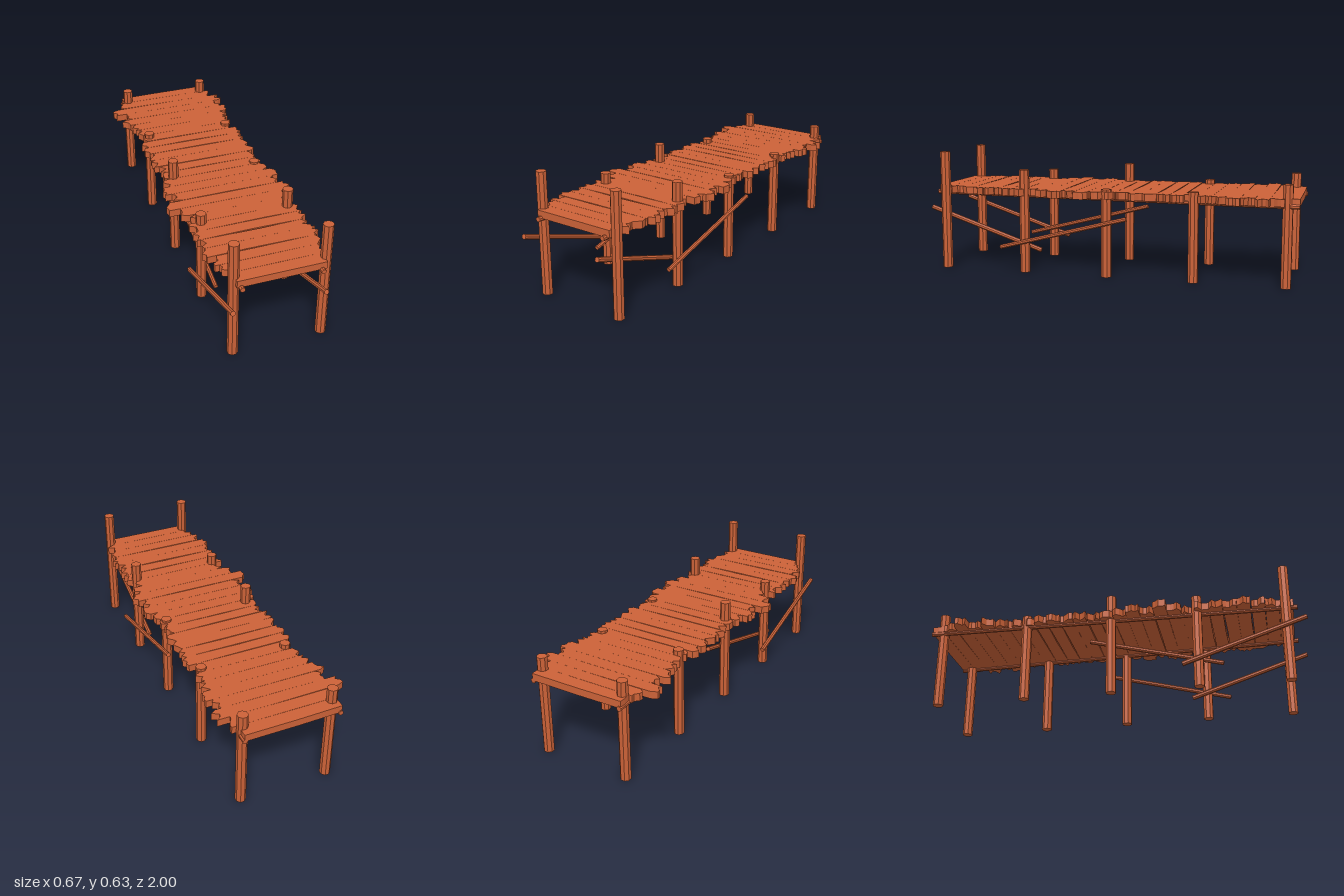
import * as THREE from 'three';

const wood = new THREE.MeshStandardMaterial({ color: 0xcc6238, flatShading: true });

// Small seeded generator for the rough plank ends
let seed = 11;
const rand = () => {
  seed = (seed * 16807) % 2147483647;
  return seed / 2147483647;
};

// Round timber between two points
function pole(name, a, b, radius, sides = 8) {
  const from = new THREE.Vector3(...a), to = new THREE.Vector3(...b);
  const dir = to.clone().sub(from);
  const geo = new THREE.CylinderGeometry(radius, radius, dir.length(), sides);
  geo.rotateY(Math.PI / sides);
  const mesh = new THREE.Mesh(geo, wood);
  mesh.quaternion.setFromUnitVectors(new THREE.Vector3(0, 1, 0), dir.normalize());
  mesh.position.copy(from).add(to).multiplyScalar(0.5);
  mesh.name = name;
  return mesh;
}

// Board across the deck, with splintered ends unless it is a trimmed end board
function plank(left, right, z0, z1, trimmed) {
  const shape = new THREE.Shape();
  const gap = () => (rand() < 0.3 ? 0.006 : 0.001) * rand();
  const steps = 4;
  const rough = () => (trimmed ? 0.004 : 0.036) * rand();
  const peakR = 1 + Math.floor(rand() * 3), peakL = 1 + Math.floor(rand() * 3);
  shape.moveTo(-left + rough(), z0 + gap());
  shape.lineTo(0.1 * (rand() - 0.5), z0 + gap());
  for (let i = 0; i <= steps; i++) {
    const z = THREE.MathUtils.lerp(z0, z1, i / steps);
    shape.lineTo(right - (i === peakR ? 0 : rough()), z);
  }
  shape.lineTo(0.2 * (rand() - 0.5), z1 - gap());
  for (let i = steps; i > 0; i--) {
    const z = THREE.MathUtils.lerp(z0, z1, i / steps);
    shape.lineTo(-left + (i === peakL ? 0 : rough()), z);
  }
  const geo = new THREE.ExtrudeGeometry(shape, { depth: 0.038, bevelEnabled: false });
  geo.rotateX(Math.PI / 2);
  const mesh = new THREE.Mesh(geo, wood);
  mesh.position.y = 0.451;
  mesh.name = 'plank';
  return mesh;
}

export function createModel() {
  const group = new THREE.Group();
  group.name = 'woodenDock';

  // Posts: z, height on the right (-x), height on the left (+x)
  const posts = [
    [0.895, 0.635, 0.635], [0.44, 0.505, 0.55], [-0.013, 0.55, 0.462],
    [-0.472, 0.475, 0.465], [-0.94, 0.525, 0.52],
  ];
  const postGroup = new THREE.Group();
  postGroup.name = 'posts';
  for (const [z, right, left] of posts) {
    postGroup.add(pole('rightPost', [-0.217, 0, z], [-0.217, right, z], 0.027));
    postGroup.add(pole('leftPost', [0.243, 0, z], [0.243, left, z], 0.027));
  }
  group.add(postGroup);

  // Deck boards from back to front
  const rightEnds = [0.245, 0.28, 0.338, 0.28, 0.317, 0.28, 0.265, 0.255, 0.285, 0.285, 0.28, 0.285,
    0.265, 0.265, 0.285, 0.312, 0.28, 0.337, 0.29, 0.25, 0.28, 0.285, 0.275, 0.296, 0.27, 0.25, 0.217];
  const leftEnds = [0.26, 0.29, 0.335, 0.3, 0.325, 0.3, 0.29, 0.27, 0.3, 0.29, 0.29, 0.298,
    0.275, 0.28, 0.29, 0.32, 0.3, 0.335, 0.3, 0.265, 0.295, 0.3, 0.285, 0.302, 0.28, 0.275, 0.234];
  const deck = new THREE.Group();
  deck.name = 'deck';
  const n = leftEnds.length, pitch = 1.935 / n;
  for (let i = 0; i < n; i++) {
    const z = -1 + i * pitch;
    deck.add(plank(rightEnds[i], leftEnds[i], z, z + pitch, i === 0 || i === n - 1));
  }
  group.add(deck);

  // Long stringers under the deck, splayed a little towards the back
  group.add(pole('rightStringer', [-0.193, 0.412, 0.955], [-0.237, 0.412, -1], 0.013));
  group.add(pole('leftStringer', [0.208, 0.412, 0.955], [0.255, 0.412, -1], 0.013));

  // Slanting braces: x of the front and middle brace on each side
  for (const [side, front, middle] of [['right', -0.254, -0.183], ['left', 0.208, 0.281]]) {
    group.add(pole(side + 'FrontBrace', [front, 0.324, 0.995], [front, 0.115, 0.36], 0.013));
    group.add(pole(side + 'MiddleBrace', [middle, 0.135, 0.565], [middle, 0.316, -0.13], 0.012));
  }
  return group;
}
